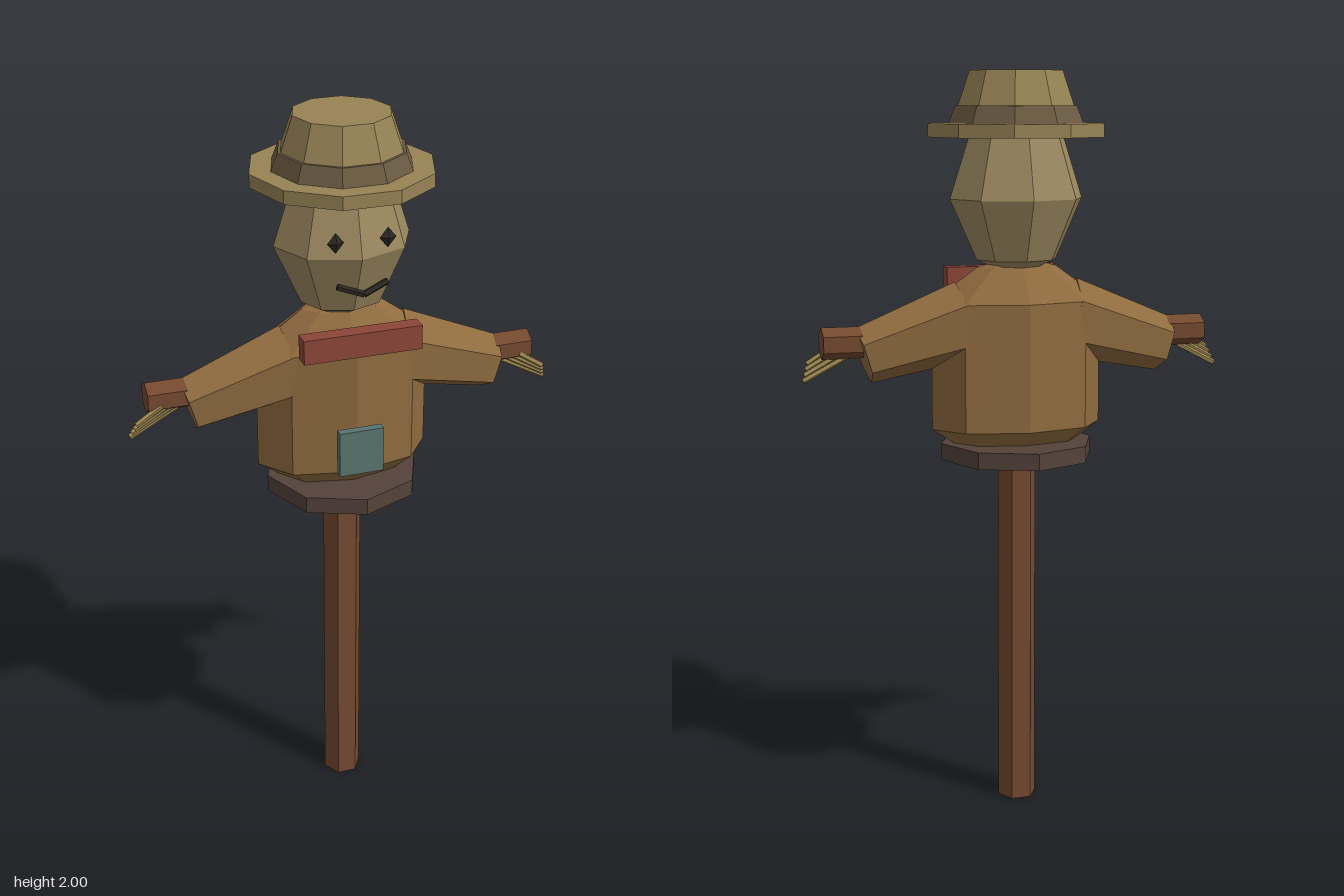
import * as THREE from 'three';

const mat = (color) => new THREE.MeshStandardMaterial({ color, flatShading: true });
const MATS = {
  wood: mat(0x74492f), coat: mat(0x8f6b3f), belt: mat(0x54423a), sack: mat(0x9c8960),
  hat: mat(0x978355), band: mat(0x6b5b42), scarf: mat(0x8c4639), patch: mat(0x587470),
  dark: mat(0x2c2622), straw: mat(0xa08a52),
};

export function createModel() {
  const model = new THREE.Group();
  model.name = 'scarecrow';

  const add = (name, geometry, material, x = 0, y = 0, z = 0) => {
    const mesh = new THREE.Mesh(geometry, material);
    mesh.name = name;
    mesh.position.set(x, y, z);
    model.add(mesh);
    return mesh;
  };

  // Upright faceted solid with a corner on each side
  const drum = (name, rTop, rBottom, y0, y1, sides, material) => {
    const g = new THREE.CylinderGeometry(rTop, rBottom, y1 - y0, sides, 1, false, Math.PI / 2);
    return add(name, g, material, 0, (y0 + y1) / 2, 0);
  };

  // Faceted rod between two points
  const rod = (name, a, b, rA, rB, sides, material) => {
    const from = new THREE.Vector3(...a);
    const to = new THREE.Vector3(...b);
    const dir = to.clone().sub(from);
    const g = new THREE.CylinderGeometry(rB, rA, dir.length(), sides, 1, false, Math.PI / 2);
    const mesh = add(name, g, material);
    mesh.position.copy(from).add(to).multiplyScalar(0.5);
    mesh.quaternion.setFromUnitVectors(new THREE.Vector3(0, 1, 0), dir.normalize());
    return mesh;
  };

  // Eight-sided turned form, flattened front to back
  const turned = (name, profile, depth, material) => {
    const g = new THREE.LatheGeometry(profile.map(([r, y]) => new THREE.Vector2(r, y)), 8);
    g.scale(1, 1, depth);
    return add(name, g, material);
  };

  // Post and crossbar
  drum('post', 0.053, 0.053, 0, 1.1, 6, MATS.wood);
  rod('crossbar', [-0.53, 1.303, 0], [0.53, 1.303, 0], 0.042, 0.042, 6, MATS.wood);

  // Coat body and belt
  turned('coatBody', [[0, 0.93], [0.04, 0.938], [0.11, 0.975], [0.235, 1.06],
    [0.235, 1.4], [0.11, 1.49], [0, 1.52]], 0.54, MATS.coat);
  drum('belt', 0.21, 0.21, 0.975, 1.02, 8, MATS.belt);
  add('patch', new THREE.BoxGeometry(0.12, 0.125, 0.024), MATS.patch, 0, 1.137, 0.152);
  add('scarf', new THREE.BoxGeometry(0.315, 0.065, 0.045), MATS.scarf, 0, 1.447, 0.151);

  // Sack head
  turned('head', [[0, 1.46], [0.11, 1.51], [0.182, 1.67], [0.13, 1.83], [0, 1.86]], 0.87, MATS.sack);

  // Hat
  drum('hatBrim', 0.24, 0.24, 1.83, 1.865, 10, MATS.hat);
  drum('hatBand', 0.166, 0.184, 1.865, 1.91, 10, MATS.band);
  drum('hatCrown', 0.127, 0.162, 1.9, 2, 10, MATS.hat);

  for (const s of [1, -1]) {
    const side = s > 0 ? 'left' : 'right';

    // Sleeve, sloping down and tapering to the cuff
    rod(side + 'Sleeve', [s * 0.14, 1.35, 0], [s * 0.42, 1.267, 0], 0.108, 0.076, 6, MATS.coat);

    // Straw fingers
    for (let i = 0; i < 4; i++) {
      const z = 0.008 + i * 0.008;
      rod(side + 'Straw' + (i + 1), [s * (0.45 + i * 0.015), 1.272 + i * 0.006, z],
        [s * (0.578 - i * 0.005), 1.205 + i * 0.014, z + 0.004], 0.008, 0.008, 5, MATS.straw);
    }

    // Face
    const eye = add(side + 'Eye', new THREE.OctahedronGeometry(1), MATS.dark, s * 0.068, 1.72, 0.153);
    eye.scale.set(0.022, 0.027, 0.011);
    rod(side + 'Mouth', [0, 1.585, 0.172], [s * 0.066, 1.607, 0.158], 0.009, 0.009, 5, MATS.dark);
  }

  return model;
}
